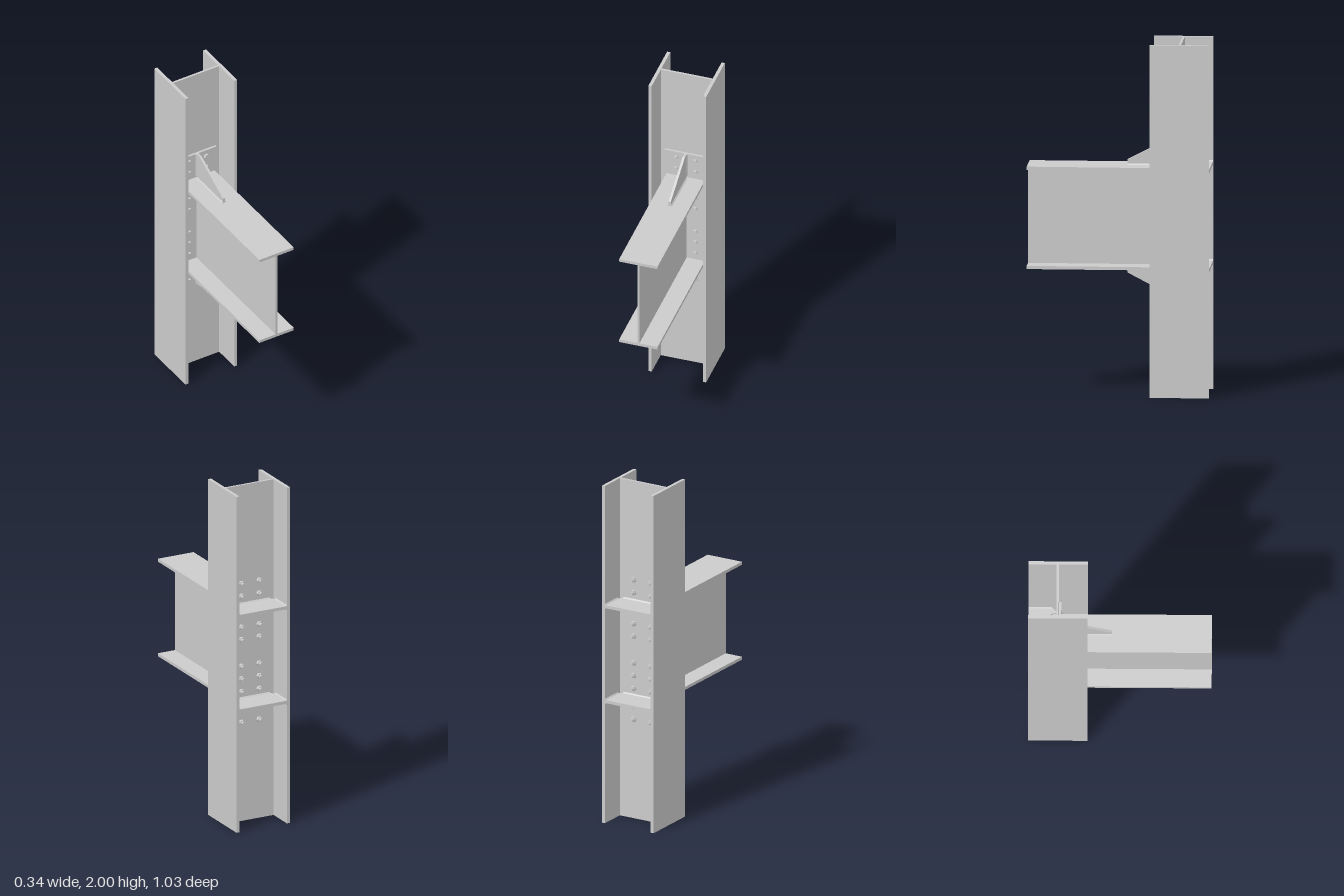
import * as THREE from 'three';

export function createModel() {
  const model = new THREE.Group();
  const mat = new THREE.MeshStandardMaterial({ color: 0xcccccc, flatShading: true });

  function add(name, geometry, parent = model) {
    const mesh = new THREE.Mesh(geometry, mat);
    mesh.name = name;
    parent.add(mesh);
    return mesh;
  }
  // Box given by its limits along each axis
  function plate(name, [x0, x1], [y0, y1], [z0, z1], parent) {
    const mesh = add(name, new THREE.BoxGeometry(x1 - x0, y1 - y0, z1 - z0), parent);
    mesh.position.set((x0 + x1) / 2, (y0 + y1) / 2, (z0 + z1) / 2);
    return mesh;
  }
  function prism(points, depth) {
    const shape = new THREE.Shape(points.map(([x, y]) => new THREE.Vector2(x, y)));
    return new THREE.ExtrudeGeometry(shape, { depth, bevelEnabled: false });
  }
  // Triangular fillet weld along +z, legs along sx and sy
  function weld(sx, sy, length, size = 0.007) {
    return prism([[0, 0], [sx * size, 0], [0, sy * size]], length);
  }

  // Column: web with two flanges
  const column = new THREE.Group();
  column.name = 'column';
  model.add(column);
  plate('columnWeb', [-0.151, 0.151], [0, 2], [-0.356, -0.343], column);
  for (const s of [-1, 1]) {
    const x = [0.151 * s, 0.17 * s].sort((a, b) => a - b);
    plate('columnFlange', x, [0, 2], [-0.514, -0.181], column);
  }

  // Beam: two flanges and a web
  const beam = new THREE.Group();
  beam.name = 'beam';
  model.add(beam);
  plate('beamTopFlange', [-0.113, 0.113], [1.276, 1.294], [-0.33, 0.513], beam);
  plate('beamBottomFlange', [-0.113, 0.113], [0.713, 0.731], [-0.33, 0.513], beam);
  plate('beamWeb', [-0.006, 0.006], [0.731, 1.276], [-0.33, 0.513], beam);

  plate('endPlate', [-0.127, 0.127], [0.549, 1.456], [-0.343, -0.33]);

  // Column stiffeners, clipped at the web corners, with welds on both faces
  const stiffenerPoints = [[-0.151, 0.514], [-0.151, 0.381], [-0.126, 0.356],
    [0.126, 0.356], [0.151, 0.381], [0.151, 0.514]];
  for (const y of [0.722, 1.285]) {
    const stiffener = new THREE.Group();
    stiffener.name = 'columnStiffener';
    stiffener.position.y = y;
    model.add(stiffener);
    const panel = add('stiffenerPlate', prism(stiffenerPoints, 0.018), stiffener);
    panel.rotation.x = -Math.PI / 2;
    panel.position.y = -0.009;
    for (const v of [-1, 1]) {
      for (const s of [-1, 1]) {
        const side = add('flangeWeld', weld(-s, v, 0.133), stiffener);
        side.position.set(0.151 * s, 0.009 * v, -0.514);
      }
      const back = add('webWeld', weld(1, v, 0.252), stiffener);
      back.rotation.y = Math.PI / 2;
      back.position.set(-0.126, 0.009 * v, -0.356);
    }
  }

  // Tapered ribs above and below the beam (z, height above the flange)
  const ribPoints = [[-0.33, 0.012], [-0.318, 0], [-0.045, 0], [-0.045, 0.03],
    [-0.297, 0.162], [-0.33, 0.162]];
  for (const v of [-1, 1]) {
    const base = v > 0 ? 1.294 : 0.713;
    const rib = new THREE.Group();
    rib.name = v > 0 ? 'upperRib' : 'lowerRib';
    rib.position.y = base;
    model.add(rib);
    const panel = add('ribPlate', prism(ribPoints.map(([z, h]) => [-z, h * v]), 0.014), rib);
    panel.rotation.y = Math.PI / 2;
    panel.position.x = -0.007;
    for (const s of [-1, 1]) {
      const foot = add('ribFlangeWeld', weld(s, v, 0.273), rib);
      foot.position.set(0.007 * s, 0, -0.318);
      const back = add('ribPlateWeld', weld(s, -1, 0.15), rib);
      back.rotation.x = -Math.PI / 2;
      back.scale.y = 1;
      back.position.set(0.007 * s, v > 0 ? 0.012 : -0.162, -0.33);
      // The weld leg points forward (+z) after the turn
    }
  }

  // Bolts: hexagonal head in front, nut and shank end behind
  const headGeo = new THREE.CylinderGeometry(0.016, 0.016, 0.013, 6).rotateX(Math.PI / 2);
  const nutGeo = new THREE.CylinderGeometry(0.016, 0.016, 0.019, 6).rotateX(Math.PI / 2);
  const shankGeo = new THREE.CylinderGeometry(0.01, 0.01, 0.065, 16).rotateX(Math.PI / 2);
  const rows = [0.589, 0.666, 0.772, 0.848, 0.923, 1.082, 1.156, 1.232, 1.34, 1.416];
  for (const y of rows) {
    for (const x of [-0.057, 0.057]) {
      const bolt = new THREE.Group();
      bolt.name = 'bolt';
      bolt.position.set(x, y, 0);
      for (const geo of [headGeo, nutGeo]) geo.name = 'hexagon';
      add('boltHead', headGeo, bolt).position.z = -0.3235;
      add('boltNut', nutGeo, bolt).position.z = -0.3655;
      add('boltShank', shankGeo, bolt).position.z = -0.3575;
      for (const part of bolt.children.slice(0, 2)) part.rotation.z = Math.PI / 6;
      model.add(bolt);
    }
  }

  return model;
}
